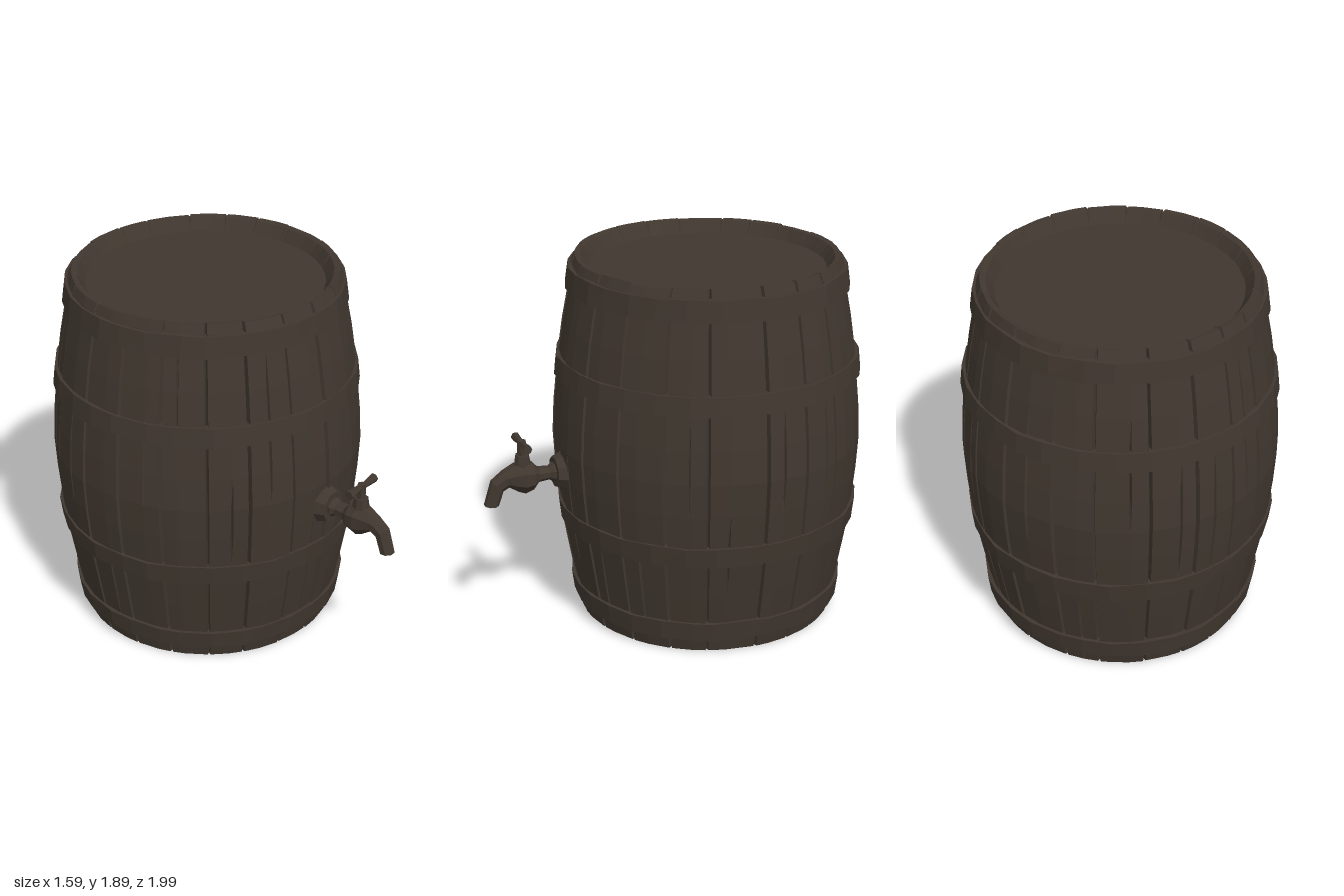
import * as THREE from 'three';

const TAU = Math.PI * 2;
const CENTRE_Z = -0.2;

function seeded(seed) {
  let s = seed;
  return () => (s = (s * 16807) % 2147483647) / 2147483647;
}

// Skin over loops of points; each loop has the same count, wrap closes the grid around.
function skin(cols, rows, point) {
  const pos = [], idx = [];
  for (let i = 0; i < cols; i++) for (let j = 0; j < rows; j++) pos.push(...point(i, j));
  for (let i = 0; i < cols; i++) {
    const n = (i + 1) % cols;
    for (let j = 0; j < rows - 1; j++) {
      const a = i * rows + j, b = n * rows + j;
      idx.push(a, b, b + 1, a, b + 1, a + 1);
    }
  }
  const g = new THREE.BufferGeometry();
  g.setAttribute('position', new THREE.Float32BufferAttribute(pos, 3));
  g.setIndex(idx);
  g.computeVertexNormals();
  return g;
}

// Staves: one bulging shell with V grooves between planks and partial cracks.
function staveGeometry() {
  const rnd = seeded(77);
  const N = 21, columns = [];
  const starts = [];
  for (let k = 0; k < N; k++) starts.push(((k + 0.1 + (rnd() - 0.5) * 0.3) / N) * TAU);
  for (let k = 0; k < N; k++) {
    const a0 = starts[k], a1 = k < N - 1 ? starts[k + 1] : starts[0] + TAU;
    const w = a1 - a0, lift = (rnd() - 0.5) * 0.008, e = 0.011;
    const from = rnd() * 1.4, to = from + 0.25 + rnd() * 0.3, c = a0 + w * (0.35 + rnd() * 0.3);
    const crack = y => (y > from && y < to ? 0.02 : 0);
    const add = (a, depth) => columns.push({ a, lift, depth });
    add(a0, () => 0.035);
    add(a0 + e, () => 0);
    add(c - 0.008, () => 0);
    add(c, crack);
    add(c + 0.008, () => 0);
    add(a1 - e, () => 0);
  }
  // radius, height, groove strength
  const profile = [
    [0, 0.06, 0], [0.63, 0.06, 0], [0.64, 0.01, 0], [0.67, 0, 0.5], [0.685, 0.07, 1],
    [0.70, 0.17, 1], [0.73, 0.34, 1], [0.757, 0.5, 1], [0.768, 0.61, 1], [0.784, 0.78, 1],
    [0.793, 0.95, 1], [0.784, 1.12, 1], [0.766, 1.29, 1], [0.754, 1.4, 1], [0.73, 1.56, 1],
    [0.697, 1.73, 1], [0.682, 1.84, 1], [0.663, 1.89, 0.6], [0.635, 1.88, 0.2],
    [0.595, 1.82, 0], [0, 1.82, 0],
  ];
  return skin(columns.length, profile.length, (i, j) => {
    const { a, lift, depth } = columns[i], [r0, y, s] = profile[j];
    const r = r0 + s * (lift - depth(y));
    const yy = j === 17 ? y - Math.abs(lift) * 2 : y;
    return [r * Math.sin(a), yy, r * Math.cos(a)];
  });
}

// Hoop: slightly uneven closed band.
function hoopGeometry(y0, y1, r0, r1, seed) {
  const rnd = seeded(seed), cols = 30;
  const wob = Array.from({ length: cols }, () => [
    (rnd() - 0.5) * 0.008, (rnd() - 0.5) * 0.01, (rnd() - 0.5) * 0.01, (rnd() - 0.5) * 0.1,
  ]);
  return skin(cols, 5, (i, j) => {
    const [dr, d0, d1, da] = wob[i];
    const a = ((i + da * 3) / cols) * TAU;
    const low = j < 2 || j === 4, inner = j === 0 || j > 2;
    const r = (low ? r0 : r1) + dr - (inner ? 0.04 : 0);
    const y = low ? y0 + d0 : y1 + d1;
    return [r * Math.sin(a), y, r * Math.cos(a)];
  });
}

// Tap pipe: eight-sided rings along a bent line in the z-y plane.
function tapPipeGeometry() {
  // z, y, half width, half height, tilt of the ring
  const rings = [
    [0.60, 0.82, 0, 0, 0], [0.60, 0.82, 0.045, 0.045, 0], [0.64, 0.82, 0.055, 0.05, 0],
    [0.66, 0.82, 0.04, 0.035, 0], [0.715, 0.82, 0.045, 0.04, 0], [0.745, 0.82, 0.068, 0.075, 0],
    [0.79, 0.82, 0.075, 0.09, 0], [0.835, 0.82, 0.062, 0.075, 0.1], [0.885, 0.82, 0.045, 0.048, 0.35],
    [0.93, 0.79, 0.042, 0.043, 0.8], [0.963, 0.69, 0.04, 0.038, 1.5], [0.96, 0.71, 0, 0, 1.5],
  ];
  return skin(8, rings.length, (i, j) => {
    const [z, y, w, h, t] = rings[j], a = ((i + 0.5) / 8) * TAU;
    const v = Math.sin(a) * h;
    return [Math.cos(a) * w, y + v * Math.cos(t), z + v * Math.sin(t)];
  });
}

export function createModel() {
  const model = new THREE.Group();
  model.name = 'barrel';
  const wood = new THREE.MeshStandardMaterial({ color: 0x40372f });
  wood.name = 'darkBrown';
  wood.flatShading = true;

  const add = (parent, name, geometry, x = 0, y = 0, z = 0) => {
    const m = new THREE.Mesh(geometry, wood);
    m.name = name;
    m.position.set(x, y, z);
    parent.add(m);
    return m;
  };

  // Cask
  const cask = new THREE.Group();
  cask.name = 'cask';
  cask.position.z = CENTRE_Z;
  model.add(cask);
  add(cask, 'staves', staveGeometry());
  [
    ['bottomHoop', 0.07, 0.17, 0.705, 0.718],
    ['lowerHoop', 0.505, 0.61, 0.77, 0.782],
    ['upperHoop', 1.295, 1.395, 0.782, 0.77],
    ['topHoop', 1.735, 1.84, 0.715, 0.70],
  ].forEach(([name, ...dims], k) => add(cask, name, hoopGeometry(...dims, 101 + k * 37)));

  // Tap
  const tap = new THREE.Group();
  tap.name = 'tap';
  tap.position.x = -0.01;
  model.add(tap);
  const flange = add(tap, 'tapFlange', new THREE.CylinderGeometry(0.08, 0.1, 0.05, 9), 0, 0.82, 0.605);
  flange.rotation.x = Math.PI / 2;
  add(tap, 'tapPipe', tapPipeGeometry());
  add(tap, 'tapCollar', new THREE.CylinderGeometry(0.035, 0.045, 0.06, 8), 0, 0.91, 0.795);
  add(tap, 'tapStem', new THREE.CylinderGeometry(0.022, 0.025, 0.09, 6), 0, 0.97, 0.795);

  // Handle: two flared wings
  for (const side of [-1, 1]) {
    const wing = add(tap, 'tapHandle', new THREE.CylinderGeometry(0.024, 0.014, 0.105, 6), side * 0.052, 1.0, 0.795);
    wing.rotation.z = -side * Math.PI / 2 + 0.06;
  }
  return model;
}
